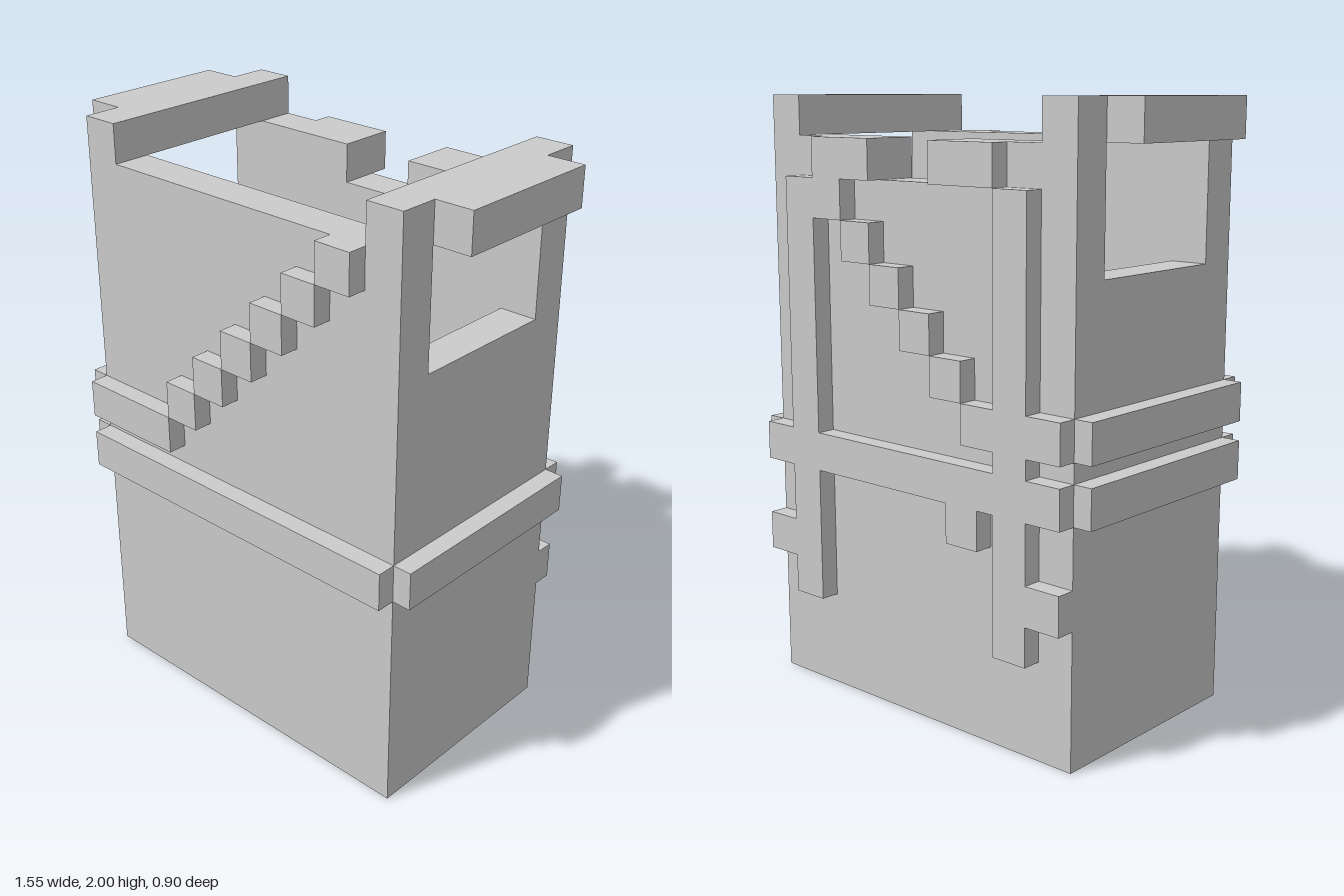
import * as THREE from 'three';

const U = 2 / 31; // half-block unit: the whole model is 31 units high

export function createModel() {
  const model = new THREE.Group();
  const material = new THREE.MeshStandardMaterial({ color: 0xcccccc, flatShading: true });

  // Box from its limits, given in units
  function box(name, x0, x1, y0, y1, z0, z1) {
    const geometry = new THREE.BoxGeometry((x1 - x0) * U, (y1 - y0) * U, (z1 - z0) * U);
    const mesh = new THREE.Mesh(geometry, material);
    mesh.name = name;
    mesh.position.set((x0 + x1) * U / 2, (y0 + y1) * U / 2, (z0 + z1) * U / 2);
    model.add(mesh);
  }
  // The same box on the +x or -x side
  function sideBox(s, name, x0, x1, ...rest) {
    box(name, Math.min(s * x0, s * x1), Math.max(s * x0, s * x1), ...rest);
  }

  // Hollow body: front wall, notched back wall
  box('frontWall', -8, 8, 0, 29, 4, 6);
  box('backWall', -8, 8, 0, 27, -6, -4);

  for (const s of [1, -1]) {
    // Side walls with an arm opening between the corner posts
    sideBox(s, 'sideWall', 8, 10, 0, 23, -4, 4);
    for (const z of [-6, 4]) sideBox(s, 'cornerPost', 8, 10, 0, 31, z, z + 2);
    sideBox(s, 'shoulderBeam', 8, 12, 29, 31, -4, 4);

    // Back wall top on each side of the neck notch, with overhanging block
    sideBox(s, 'backWallTop', 2, 8, 27, 29, -6, -4);
    sideBox(s, 'collarBlock', 2, 6, 27, 29, -7, -6);

    // Back straps and their lower stubs
    sideBox(s, 'backStrap', 6, 8, 5, 27, -7, -6);
    sideBox(s, 'strapStub', 8, 10, 7, 9, -7, -6);

    // Belt around the sides
    sideBox(s, 'sideBelt', 10, 11, 12, 14, -6, 6);
  }

  // Belt across front and back, with a hanging block behind
  box('frontBelt', -10, 10, 12, 14, 6, 7);
  box('backBelt', -10, 10, 12, 14, -7, -6);
  box('beltBlock', -5, -3, 10, 12, -7, -6);

  // Sash: level part around the -x side
  box('frontSash', -10, -4, 15, 17, 6, 7);
  box('sideSash', -11, -10, 15, 17, -6, 6);
  box('backSash', -10, -4, 15, 17, -7, -6);

  // Sash: steps climbing to the +x shoulder
  for (let i = 0; i < 6; i++) {
    const x = -4 + 2 * i, y = 17 + 2 * i;
    box('frontSashStep', x, x + 2, y, y + 2, 6, 7);
    if (i < 5) box('backSashStep', x, x + 2, y, y + 2, -7, -6);
  }

  return model;
}
